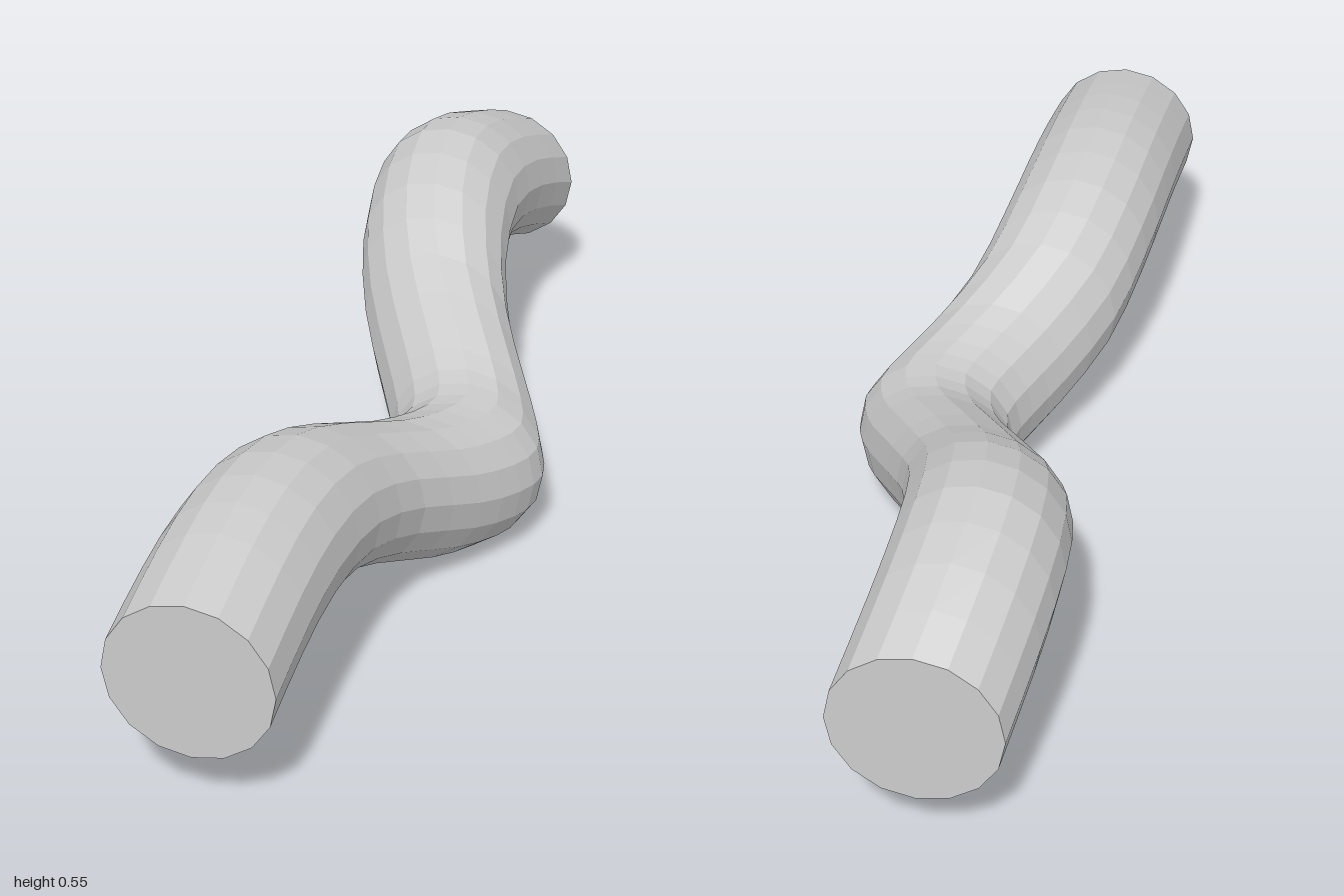
import * as THREE from 'three';

const RADIUS = 0.155;
const SIDES = 16;
const RINGS = 28;

// Centre line of the bent bar, front to back
const path = new THREE.CatmullRomCurve3([
  [-0.083, 0.289, 1], [-0.083, 0.322, 0.83], [-0.08, 0.336, 0.66], [-0.066, 0.314, 0.48],
  [-0.03, 0.252, 0.32], [0.04, 0.189, 0.18], [0.09, 0.162, 0.08], [0.113, 0.155, 0],
  [0.09, 0.163, -0.08], [0.037, 0.202, -0.18], [-0.043, 0.271, -0.33], [-0.095, 0.352, -0.48],
  [-0.117, 0.391, -0.66], [-0.108, 0.358, -0.83], [-0.083, 0.289, -1],
].map(p => new THREE.Vector3(...p)));

// Round sections, all upright and facing the front, joined along the path
function sweep() {
  const positions = [], indices = [];
  for (let i = 0; i <= RINGS; i++) {
    const c = path.getPoint(i / RINGS);
    for (let j = 0; j < SIDES; j++) {
      const t = (j / SIDES) * Math.PI * 2;
      positions.push(c.x + RADIUS * Math.cos(t), c.y + RADIUS * Math.sin(t), c.z);
    }
  }
  for (let i = 0; i < RINGS; i++) {
    for (let j = 0; j < SIDES; j++) {
      const a = i * SIDES + j, b = i * SIDES + (j + 1) % SIDES;
      indices.push(a, a + SIDES, b, b, a + SIDES, b + SIDES);
    }
  }
  const geometry = new THREE.BufferGeometry();
  geometry.setAttribute('position', new THREE.Float32BufferAttribute(positions, 3));
  geometry.setIndex(indices);
  geometry.computeVertexNormals();
  return geometry;
}

export function createModel() {
  const group = new THREE.Group();
  group.name = 'bentBar';
  const material = new THREE.MeshStandardMaterial({ color: 0xcccccc, flatShading: true });

  const body = new THREE.Mesh(sweep(), material);
  body.name = 'body';
  group.add(body);

  // Flat end caps
  for (const [name, t, turn] of [['frontCap', 0, 0], ['backCap', 1, Math.PI]]) {
    const cap = new THREE.Mesh(new THREE.CircleGeometry(RADIUS, SIDES), material);
    cap.name = name;
    cap.position.copy(path.getPoint(t));
    cap.rotation.y = turn;
    group.add(cap);
  }
  return group;
}
